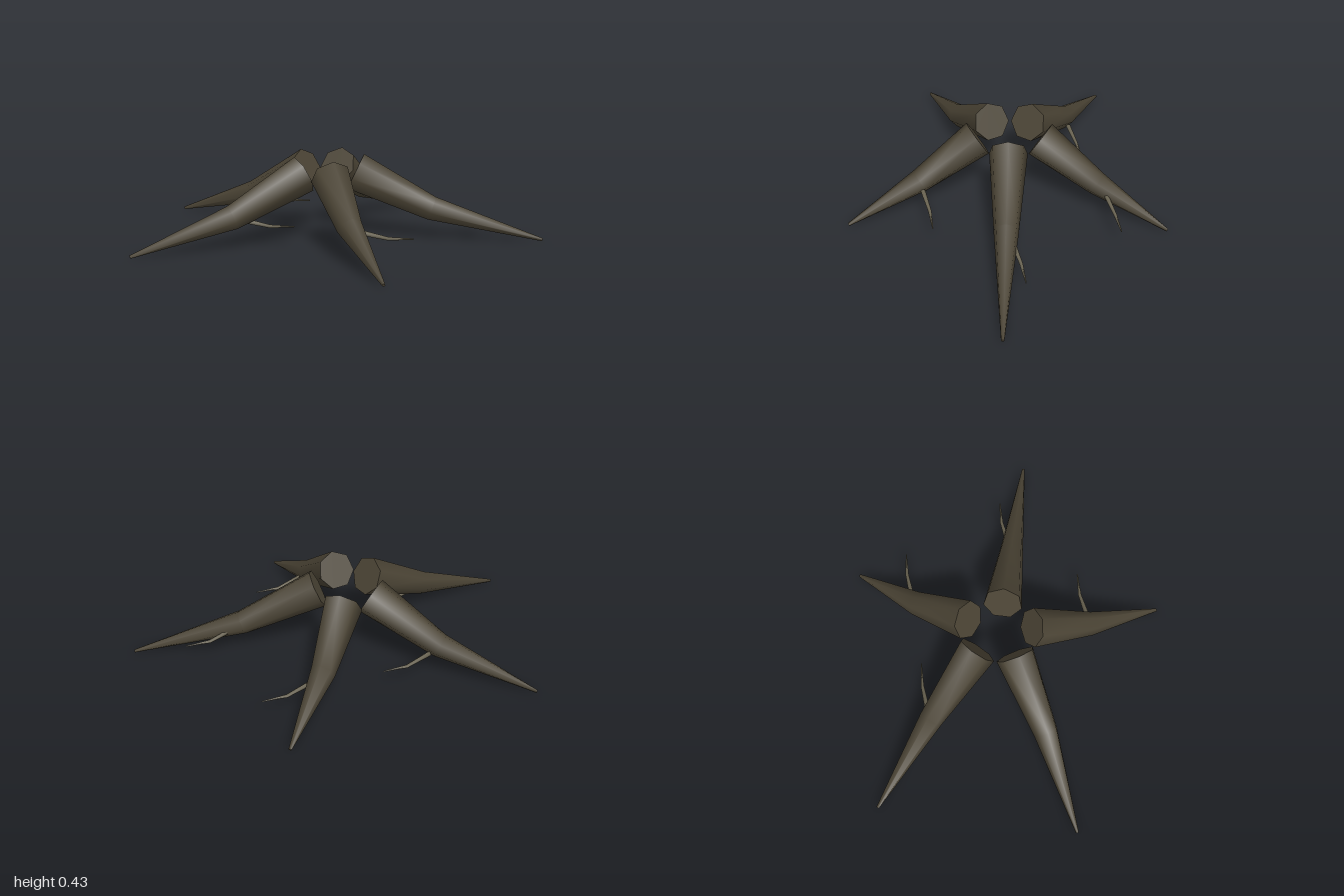
import * as THREE from 'three';

const UP = new THREE.Vector3(0, 1, 0);

// Tapered limb: one ring per path point, smooth sides, flat end caps
function limbGeometry(path, radii, sides) {
  const pts = path.map((p) => new THREE.Vector3(...p));
  const pos = [], idx = [];
  const last = pts.length - 1;
  const rings = pts.map((p, i) => {
    const dir = new THREE.Vector3();
    if (i > 0) dir.add(p.clone().sub(pts[i - 1]).normalize());
    if (i < last) dir.add(pts[i + 1].clone().sub(p).normalize());
    dir.normalize();
    const side = new THREE.Vector3().crossVectors(dir, UP).normalize();
    const top = new THREE.Vector3().crossVectors(side, dir);
    return Array.from({ length: sides }, (_, k) => {
      const a = (k / sides) * Math.PI * 2;
      return p.clone()
        .addScaledVector(top, radii[i] * Math.cos(a))
        .addScaledVector(side, radii[i] * Math.sin(a));
    });
  });
  rings.forEach((ring) => ring.forEach((v) => pos.push(v.x, v.y, v.z)));
  for (let i = 0; i < last; i++) {
    for (let k = 0; k < sides; k++) {
      const n = (k + 1) % sides;
      const a = i * sides + k, b = i * sides + n;
      idx.push(a, b, a + sides, b, b + sides, a + sides);
    }
  }
  // Caps use their own vertices so that the rims stay sharp
  for (const end of [0, last]) {
    const start = pos.length / 3;
    rings[end].forEach((v) => pos.push(v.x, v.y, v.z));
    for (let k = 1; k < sides - 1; k++) {
      if (end === 0) idx.push(start, start + k + 1, start + k);
      else idx.push(start, start + k, start + k + 1);
    }
  }
  const geo = new THREE.BufferGeometry();
  geo.setAttribute('position', new THREE.Float32BufferAttribute(pos, 3));
  geo.setIndex(idx);
  geo.computeVertexNormals();
  return geo;
}

export function createModel() {
  const model = new THREE.Group();
  model.name = 'rootCluster';

  const bark = new THREE.MeshStandardMaterial({ color: 0x4a4334 });
  bark.name = 'dark bark';
  const twigBark = new THREE.MeshStandardMaterial({ color: 0x686250 });
  twigBark.name = 'pale twig bark';

  // Each root: base, bend and tip as [x, z], then where its twig sprouts
  const roots = [
    { name: 'leftRoot', path: [[0.04, 0], [0.43, 0], [0.995, 0]], twig: [0.48, -0.03] },
    { name: 'frontRoot', path: [[-0.07, 0.16], [0.055, 0.455], [0.233, 0.81]], twig: [0.11, 0.435] },
    { name: 'backRoot', path: [[-0.07, -0.16], [0.055, -0.455], [0.233, -0.81]], twig: [0.11, -0.495] },
    { name: 'frontRightRoot', path: [[-0.22, 0.095], [-0.545, 0.29], [-0.997, 0.503]], twig: [-0.49, 0.26] },
    { name: 'backRightRoot', path: [[-0.22, -0.095], [-0.545, -0.29], [-0.997, -0.503]], twig: [-0.49, -0.32] },
  ];
  const heights = [0.345, 0.16, 0.008];

  for (const { name, path, twig } of roots) {
    const group = new THREE.Group();
    group.name = name;

    const points = path.map(([x, z], i) => [x, heights[i], z]);
    const root = new THREE.Mesh(limbGeometry(points, [0.1, 0.063, 0.008], 7), bark);
    root.name = name + 'Limb';

    // Thin side twig, all sweeping the same way
    const [tx, tz] = twig;
    const twigPath = [[tx, 0.138, tz], [tx + 0.12, 0.1, tz - 0.045], [tx + 0.24, 0.095, tz - 0.07]];
    const sprout = new THREE.Mesh(limbGeometry(twigPath, [0.013, 0.009, 0.003], 5), twigBark);
    sprout.name = name + 'Twig';

    group.add(root, sprout);
    model.add(group);
  }
  return model;
}
